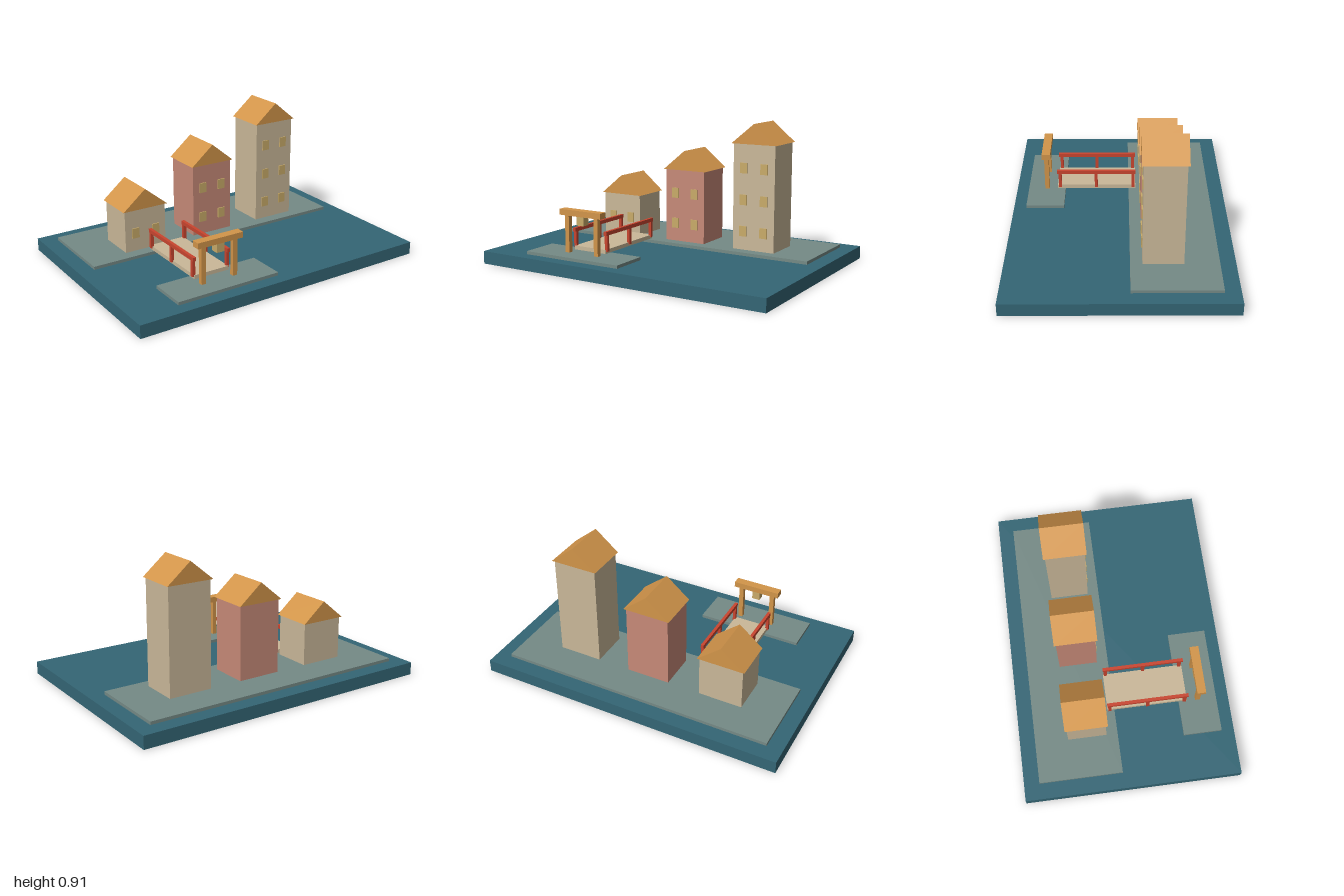
import * as THREE from 'three';

const paint = (name, color) => {
  const m = new THREE.MeshStandardMaterial({ color });
  m.name = name;
  return m;
};

export function createModel() {
  const water = paint('water teal', 0x346675);
  const stone = paint('quay stone', 0x758a86);
  const sand = paint('sand plaster', 0xcab899);
  const rose = paint('rose plaster', 0xc78a78);
  const ochre = paint('ochre wood', 0xd2954a);
  const glow = paint('window yellow', 0xc9ab69);
  const red = paint('red lacquer', 0xc9452f);

  const model = new THREE.Group();
  model.name = 'canalTown';

  // Box given by its minimum and maximum on each axis
  const box = (parent, name, mat, [x0, x1], [y0, y1], [z0, z1]) => {
    const mesh = new THREE.Mesh(new THREE.BoxGeometry(x1 - x0, y1 - y0, z1 - z0), mat);
    mesh.position.set((x0 + x1) / 2, (y0 + y1) / 2, (z0 + z1) / 2);
    mesh.name = name;
    parent.add(mesh);
    return mesh;
  };
  const group = (name) => {
    const g = new THREE.Group();
    g.name = name;
    model.add(g);
    return g;
  };

  // Water slab and the two quays
  box(model, 'waterBase', water, [-1, 1], [0, 0.082], [-0.7, 0.7]);
  box(model, 'rearQuay', stone, [-0.9, 0.9], [0.082, 0.102], [-0.6, -0.06]);
  box(model, 'frontQuay', stone, [-0.71, -0.015], [0.082, 0.102], [0.368, 0.618]);

  // Houses: walls, gabled roof, and pairs of windows on each floor
  const gable = new THREE.Shape([
    new THREE.Vector2(-0.155, 0),
    new THREE.Vector2(0.155, 0),
    new THREE.Vector2(0, 0.128),
  ]);
  const house = (name, x, floors, wallMat) => {
    const g = group(name);
    const eave = 0.177 + 0.2 * floors;
    box(g, 'walls', wallMat, [x - 0.143, x + 0.143], [0.102, eave], [-0.384, -0.134]);
    const roof = new THREE.Mesh(
      new THREE.ExtrudeGeometry(gable, { depth: 0.273, bevelEnabled: false }), ochre);
    roof.position.set(x, eave, -0.396);
    roof.name = 'roof';
    g.add(roof);
    for (let f = 0; f < floors; f++) {
      const y = 0.222 + 0.2015 * f;
      for (const s of [-1, 1]) {
        const wx = x + s * 0.071;
        box(g, 'window', glow, [wx - 0.025, wx + 0.025], [y - 0.033, y + 0.033], [-0.136, -0.127]);
      }
    }
  };
  house('smallHouse', -0.5, 1, sand);
  house('middleHouse', 0, 2, rose);
  house('tallHouse', 0.5, 3, sand);

  // Footbridge with a railing on both sides
  const cx = -0.362;
  const bridge = group('footbridge');
  box(bridge, 'deck', sand, [cx - 0.12, cx + 0.12], [0.102, 0.127], [-0.106, 0.421]);
  for (const s of [-1, 1]) {
    const x = cx + s * 0.12;
    const width = [x - 0.01, x + 0.01];
    box(bridge, 'handrail', red, width, [0.218, 0.242], [-0.106, 0.424]);
    for (const z of [-0.09, 0.16, 0.404]) {
      box(bridge, 'railPost', red, width, [0.115, 0.218], [z - 0.01, z + 0.01]);
    }
  }

  // Gate with a hanging lantern
  const gate = group('gate');
  for (const s of [-1, 1]) {
    const x = cx + s * 0.11;
    box(gate, 'gatePost', ochre, [x - 0.015, x + 0.015], [0.102, 0.342], [0.478, 0.508]);
  }
  box(gate, 'gateBeam', ochre, [cx - 0.156, cx + 0.156], [0.34, 0.377], [0.465, 0.521]);
  box(gate, 'lantern', glow, [cx - 0.026, cx + 0.026], [0.284, 0.34], [0.468, 0.518]);

  return model;
}
